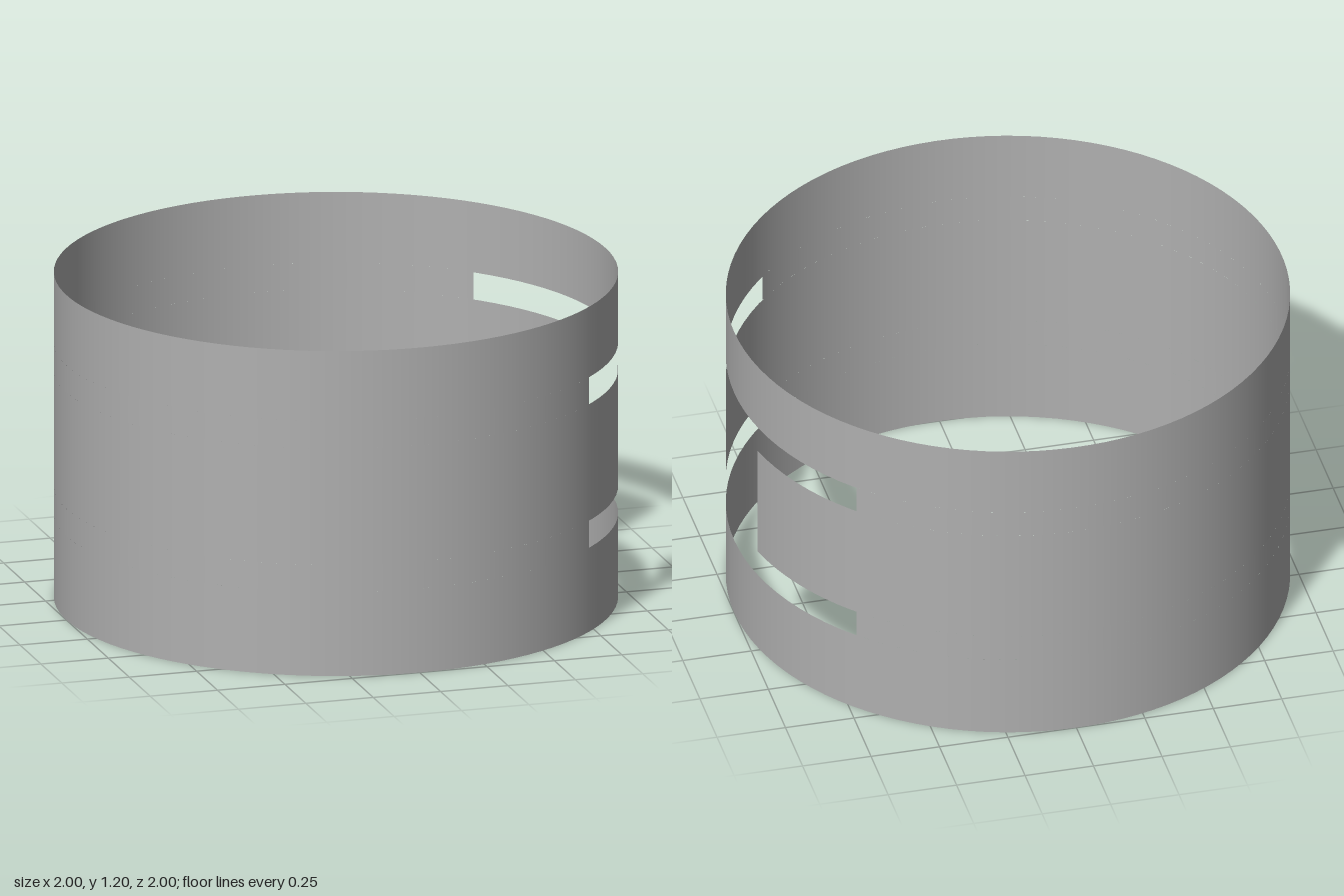
import * as THREE from 'three';

const RADIUS = 1;
const SLOT_END = 0.76;  // half angle of the two long slots
const WINDOW_END = 0.234; // half angle of the window joining them
const SIDE = Math.PI / 2; // the cut-out is centred on +x

export function createModel() {
  const model = new THREE.Group();
  model.name = 'slottedRing';

  const grey = new THREE.MeshStandardMaterial({ color: 0xb0b0b0, side: THREE.DoubleSide });
  grey.name = 'grey';

  // One thin band of wall, leaving a gap of the given half angle at +x
  function band(name, bottom, top, gap) {
    const sweep = 2 * (Math.PI - gap);
    const geometry = new THREE.CylinderGeometry(
      RADIUS, RADIUS, top - bottom, Math.round(sweep * 16), 1, true, SIDE + gap, sweep);
    const mesh = new THREE.Mesh(geometry, grey);
    mesh.name = name;
    mesh.position.y = (bottom + top) / 2;
    model.add(mesh);
  }

  band('lowerRim', 0, 0.31, 0);
  band('lowerSlotWall', 0.31, 0.41, SLOT_END);
  band('wallWithTabs', 0.41, 0.84, WINDOW_END);
  band('upperSlotWall', 0.84, 0.94, SLOT_END);
  band('upperRim', 0.94, 1.2, 0);

  return model;
}
